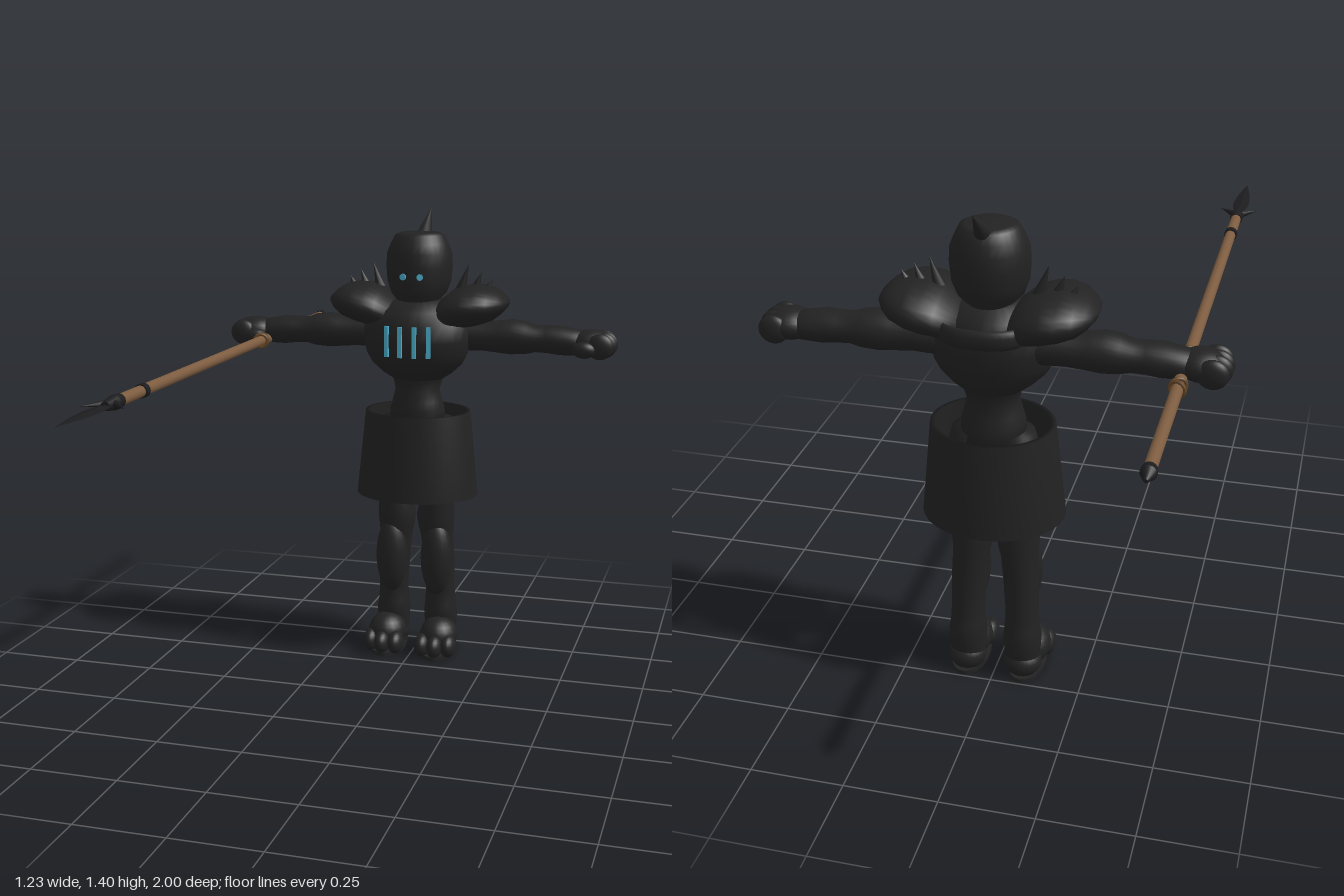
import * as THREE from 'three';

const mat = (name, color) => Object.assign(new THREE.MeshStandardMaterial({ color }), { name });
const ZC = -0.445; // depth of the figure's centre line

export function createModel() {
  const root = new THREE.Group();
  root.name = 'armouredSpearman';
  const black = mat('blackArmour', 0x222222);
  const dark = mat('darkIron', 0x1c1c1e);
  const blue = mat('glowBlue', 0x4aaecb);
  const wood = mat('wood', 0x7d5c40);
  const rope = mat('rope', 0x644526);
  black.side = THREE.DoubleSide;

  const add = (name, geo, m = black, p = [0, 0, 0]) => {
    const mesh = new THREE.Mesh(geo, m);
    mesh.name = name;
    mesh.position.set(...p);
    root.add(mesh);
    return mesh;
  };

  // Skin of elliptical sections [t, c1, c2, r1, r2] along y (c = x,z) or along x (c = y,z)
  const loft = (rows, axis = 'y', s = 1, n = 28) => {
    const pos = [], idx = [];
    rows.forEach(([t, c1, c2, r1, r2]) => {
      for (let j = 0; j < n; j++) {
        const a = (j / n) * Math.PI * 2, c = Math.cos(a) * r1, d = Math.sin(a) * r2;
        if (axis === 'y') pos.push(s * c1 + c, t, c2 + d);
        else pos.push(s * t, c1 + c, c2 - s * d);
      }
    });
    for (let i = 0; i < rows.length - 1; i++) for (let j = 0; j < n; j++) {
      const a = i * n + j, b = i * n + (j + 1) % n;
      idx.push(a, a + n, b, b, a + n, b + n);
    }
    const g = new THREE.BufferGeometry();
    g.setAttribute('position', new THREE.Float32BufferAttribute(pos, 3));
    g.setIndex(idx);
    g.computeVertexNormals();
    return g;
  };
  const blob = (name, p, r, m = black) => add(name, new THREE.SphereGeometry(1, 20, 14).scale(...r), m, p);

  // Cone from base point to tip
  const spike = (name, from, to, r, m = black) => {
    const a = new THREE.Vector3(...from), d = new THREE.Vector3(...to).sub(a), h = d.length();
    const mesh = add(name, new THREE.ConeGeometry(r, h, 12).translate(0, h / 2, 0), m, from);
    mesh.quaternion.setFromUnitVectors(new THREE.Vector3(0, 1, 0), d.normalize());
    return mesh;
  };

  // Head with its swept-back crest spike
  add('head', loft([
    [1.08, 0, -0.44, 0.055, 0.055], [1.125, 0, -0.43, 0.062, 0.075], [1.15, 0, -0.435, 0.085, 0.092],
    [1.185, 0, -0.438, 0.098, 0.1], [1.23, 0, -0.44, 0.102, 0.102], [1.27, 0, -0.44, 0.1, 0.1],
    [1.3, 0, -0.44, 0.088, 0.09], [1.325, 0, -0.442, 0.075, 0.077], [1.332, 0, -0.442, 0.06, 0.062],
    [1.335, 0, -0.442, 0, 0]]));
  spike('crestSpike', [0, 1.3, -0.475], [0, 1.4, -0.592], 0.03);
  for (const s of [-1, 1]) {
    const eye = add('eye', new THREE.CylinderGeometry(0.01, 0.01, 0.008, 10).rotateX(Math.PI / 2), blue, [s * 0.026, 1.205, -0.34]);
    eye.rotation.y = s * 0.25;
  }

  // Chest, waist and hips
  add('chest', loft([
    [0.885, 0, -0.43, 0.08, 0.07], [0.905, 0, -0.425, 0.11, 0.09], [0.935, 0, -0.42, 0.142, 0.11],
    [0.965, 0, -0.417, 0.158, 0.125], [1.01, 0, -0.418, 0.168, 0.134], [1.06, 0, -0.42, 0.166, 0.13],
    [1.1, 0, -0.425, 0.13, 0.115], [1.13, 0, -0.43, 0.07, 0.07], [1.14, 0, -0.43, 0, 0]]));
  add('waist', loft([
    [0.72, 0, -0.43, 0, 0], [0.73, 0, -0.43, 0.09, 0.08], [0.79, 0, -0.425, 0.085, 0.075],
    [0.815, 0, -0.425, 0.078, 0.07], [0.85, 0, -0.425, 0.069, 0.065], [0.88, 0, -0.43, 0.077, 0.068],
    [0.92, 0, -0.43, 0.098, 0.08]]));
  for (const x of [-0.065, -0.021, 0.023, 0.065]) {
    const z = -0.418 + 0.134 * Math.sqrt(1 - (x / 0.168) ** 2);
    const bar = add('chestBar', new THREE.BoxGeometry(0.013, 0.094, 0.009), blue, [x, 1.014, z]);
    bar.rotation.y = x * 2.5;
  }

  // Flared open skirt with a thick wall
  add('skirt', loft([
    [0.53, 0, -0.43, 0.18, 0.155], [0.517, 0, -0.43, 0.192, 0.165], [0.782, 0, -0.433, 0.165, 0.148],
    [0.782, 0, -0.433, 0.152, 0.135], [0.53, 0, -0.43, 0.18, 0.155]], 'y', 1, 48));

  // Collar behind the neck
  const arc = [[-0.14, 0.05], [-0.09, -0.115], [0, -0.142], [0.09, -0.115], [0.14, 0.05]]
    .map(([x, z]) => new THREE.Vector3(x, 0, z));
  add('backCollar', new THREE.TubeGeometry(new THREE.CatmullRomCurve3(arc), 32, 0.012, 10).scale(1, 2.2, 1), black, [0, 1.08, ZC]);

  for (const s of [-1, 1]) {
    // Shoulder guard with three spikes
    add('shoulderGuard', loft([
      [0.045, 1.07, ZC, 0, 0], [0.05, 1.07, ZC, 0.03, 0.06], [0.075, 1.085, ZC, 0.048, 0.11],
      [0.11, 1.1, ZC, 0.062, 0.138], [0.15, 1.11, ZC, 0.065, 0.148], [0.19, 1.117, ZC, 0.062, 0.145],
      [0.23, 1.12, ZC, 0.051, 0.122], [0.255, 1.122, ZC, 0.034, 0.092], [0.272, 1.124, ZC, 0.016, 0.058],
      [0.279, 1.125, ZC, 0, 0]], 'x', s));
    [[0.125, 0.152, 1.238], [0.168, 0.192, 1.215], [0.205, 0.226, 1.193]].forEach(([x, tx, ty]) =>
      spike('shoulderSpike', [s * x, 1.15, -0.455], [s * tx, ty, -0.455], 0.019));

    // Arm with swelling upper guard and forearm
    add('arm', loft([
      [0.1, 1.02, -0.45, 0.05, 0.055], [0.2, 1.02, -0.45, 0.045, 0.052], [0.255, 1.02, -0.45, 0.05, 0.056],
      [0.29, 1.021, -0.45, 0.054, 0.06], [0.335, 1.02, -0.45, 0.05, 0.057], [0.365, 1.018, -0.45, 0.041, 0.05],
      [0.4, 1.018, -0.45, 0.042, 0.052], [0.44, 1.016, -0.45, 0.045, 0.055], [0.475, 1.013, -0.45, 0.041, 0.05],
      [0.52, 1.01, -0.45, 0.036, 0.046], [0.53, 1.01, -0.45, 0, 0]], 'x', s));

    // Fist
    blob('palm', [s * 0.535, 1.012, -0.447], [0.064, 0.042, 0.062]);
    for (let i = 0; i < 4; i++)
      blob('finger', [s * (0.575 - 0.006 * Math.abs(i - 1.5)), 1.008, -0.492 + i * 0.031], [0.041, 0.039, 0.021]);
    blob('thumb', [s * 0.52, 0.998, -0.388], [0.036, 0.025, 0.024]);

    // Leg, knee and ankle
    add('leg', loft([
      [0.0, 0.075, -0.44, 0.04, 0.035], [0.07, 0.078, -0.44, 0.05, 0.048], [0.125, 0.078, -0.438, 0.053, 0.057],
      [0.155, 0.077, -0.438, 0.049, 0.05], [0.2, 0.077, -0.436, 0.046, 0.045], [0.3, 0.073, -0.43, 0.049, 0.05],
      [0.38, 0.067, -0.425, 0.051, 0.053], [0.41, 0.064, -0.423, 0.056, 0.056], [0.45, 0.063, -0.42, 0.06, 0.058],
      [0.485, 0.066, -0.42, 0.055, 0.054], [0.53, 0.07, -0.42, 0.056, 0.056], [0.65, 0.073, -0.425, 0.066, 0.065],
      [0.76, 0.06, -0.43, 0.05, 0.06], [0.77, 0.06, -0.43, 0, 0]], 'y', s));
    blob('shinGuard', [s * 0.073, 0.315, -0.392], [0.05, 0.123, 0.046]);

    // Foot with toes
    blob('heel', [s * 0.08, 0.045, -0.445], [0.053, 0.045, 0.052]);
    blob('instep', [s * 0.085, 0.062, -0.385], [0.06, 0.058, 0.07]);
    [0.044, 0.086, 0.126].forEach((x, i) =>
      blob('toe', [s * x, 0.04, [-0.33, -0.322, -0.34][i]], [0.025, 0.036, 0.042]));
    add('sole', new THREE.CylinderGeometry(1, 1, 0.012, 24).scale(0.052, 1, 0.1), black, [s * 0.082, 0.006, -0.395]);
  }

  // Spear, lying along z through the right fist
  const X = -0.49, Y = 0.99;
  const rod = (name, z0, z1, r0, r1, m) => add(name,
    new THREE.CylinderGeometry(r1, r0, z1 - z0, 16).rotateX(Math.PI / 2), m, [X, Y, (z0 + z1) / 2]);
  rod('shaft', -0.96, 0.69, 0.0155, 0.0155, wood);
  rod('shaftBand', 0.515, 0.537, 0.019, 0.019, dark);
  rod('headSocket', 0.66, 0.69, 0.018, 0.02, dark);
  rod('headSocketNeck', 0.69, 0.74, 0.02, 0.012, dark);
  rod('tailCap', -0.965, -0.945, 0.02, 0.018, dark);
  rod('tailPoint', -1, -0.965, 0.005, 0.02, dark);

  // Flat leaf blade and two barbs
  const profile = [[0.006, 0.7], [0.02, 0.76], [0.025, 0.81], [0.019, 0.89], [0, 1]].map(p => new THREE.Vector2(...p));
  const blade = new THREE.LatheGeometry(profile, 4).scale(1, 1, 0.2).rotateX(Math.PI / 2).toNonIndexed();
  blade.computeVertexNormals();
  add('blade', blade, dark, [X, Y, 0]);
  for (const s of [-1, 1]) spike('barb', [X + s * 0.006, Y, 0.705], [X + s * 0.058, Y, 0.755], 0.012, dark);

  // Rope wraps on each side of the fist
  for (const [z, tilt] of [[-0.35, 0.3], [-0.37, -0.35], [-0.535, 0.35], [-0.553, -0.3]]) {
    const ring = add('ropeWrap', new THREE.TorusGeometry(0.02, 0.005, 8, 20), rope, [X, Y, z]);
    ring.rotation.y = tilt;
  }
  return root;
}
